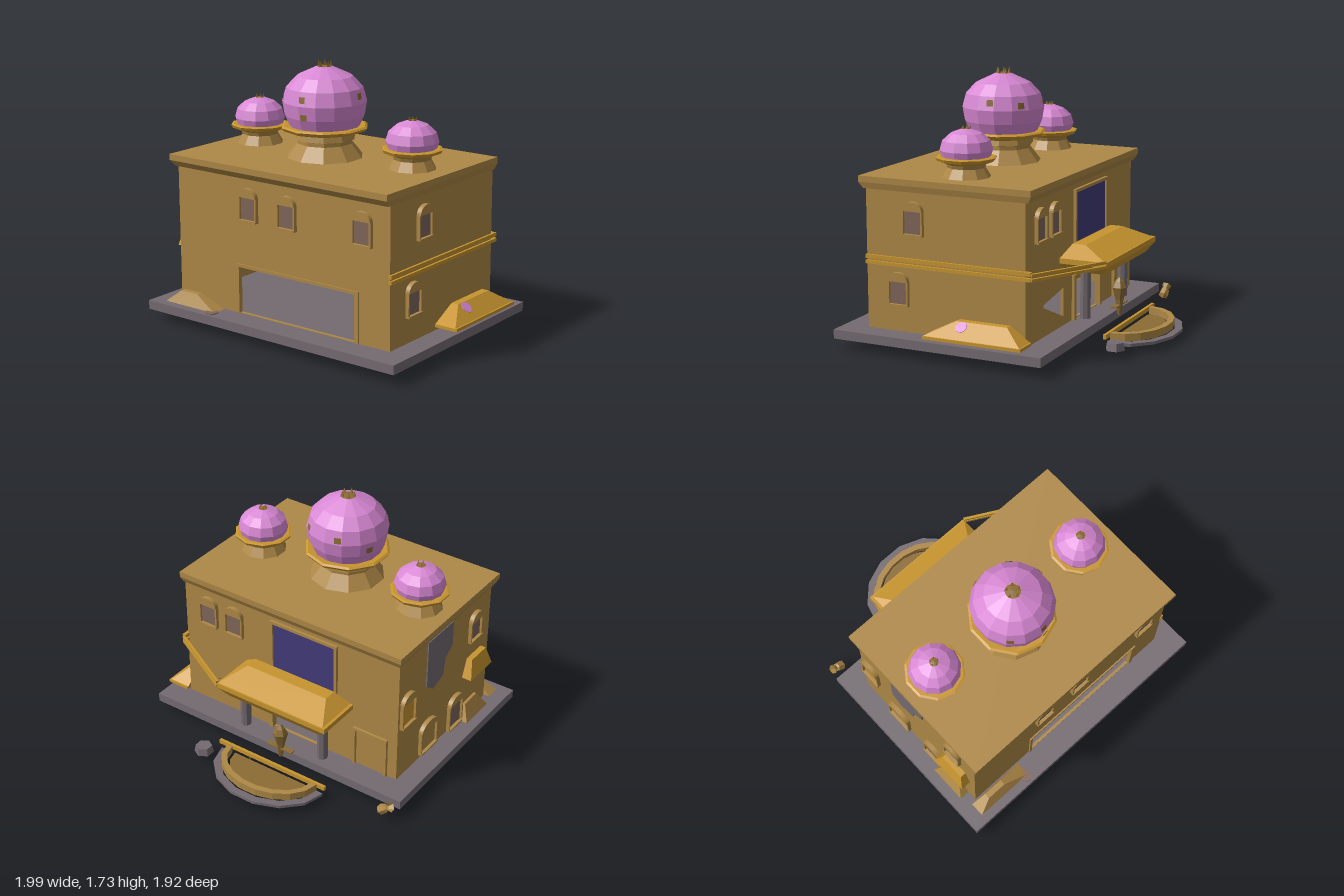
import * as THREE from 'three';

const mat = (name, color) => {
  const m = new THREE.MeshStandardMaterial({ color });
  m.name = name;
  m.side = THREE.DoubleSide;
  return m;
};

export function createModel() {
  const root = new THREE.Group();
  const tan = mat('sandstone', 0xae8846), gold = mat('gold trim', 0xc8952f);
  const pink = mat('pink dome', 0xd888d4), brown = mat('brown window', 0x80665a);
  const grey = mat('grey stone', 0x746b70), blue = mat('blue panel', 0x423c78);
  const dark = mat('dark sandstone', 0x8c6c34);

  const add = (name, geo, m, parent = root) => {
    const g = geo.index ? geo.toNonIndexed() : geo; // faceted normals
    g.computeVertexNormals();
    const mesh = new THREE.Mesh(g, m);
    mesh.name = name;
    parent.add(mesh);
    return mesh;
  };
  const box = (name, m, x0, x1, y0, y1, z0, z1, parent) => {
    const g = new THREE.BoxGeometry(x1 - x0, y1 - y0, z1 - z0);
    g.translate((x0 + x1) / 2, (y0 + y1) / 2, (z0 + z1) / 2);
    return add(name, g, m, parent);
  };
  // Box whose top face is another rectangle [x0, x1, z0, z1]
  const hip = (name, m, low, y0, high, y1) => {
    const g = new THREE.BoxGeometry(1, 1, 1), p = g.attributes.position;
    for (let i = 0; i < p.count; i++) {
      const up = p.getY(i) > 0, r = up ? high : low;
      p.setXYZ(i, p.getX(i) < 0 ? r[0] : r[1], up ? y1 : y0, p.getZ(i) < 0 ? r[2] : r[3]);
    }
    return add(name, g, m);
  };
  const bar = (name, m, a, b, t) => {
    const A = new THREE.Vector3(...a), B = new THREE.Vector3(...b);
    const mesh = add(name, new THREE.BoxGeometry(t, t, A.distanceTo(B)), m);
    mesh.position.copy(A).add(B).multiplyScalar(0.5);
    mesh.lookAt(B);
  };
  const poly = (pts) => new THREE.Shape(pts.map(([x, y]) => new THREE.Vector2(x, y)));
  const rect = (x0, x1, y0, y1) => [[x0, y0], [x1, y0], [x1, y1], [x0, y1]];
  const lathe = (name, m, pts, sides, x, z, parent = root, a = 0, len = Math.PI * 2) => {
    const g = new THREE.LatheGeometry(pts.map(([r, y]) => new THREE.Vector2(r, y)), sides, a, len);
    const mesh = add(name, g, m, parent);
    mesh.position.set(x, 0, z);
    return mesh;
  };

  // Ground slab
  box('groundSlab', grey, -1, 0.98, 0.07, 0.13, -0.49, 0.96);

  // Walls with their openings
  const wall = (name, holes, z) => {
    const s = poly(rect(-0.86, 0.83, 0.13, 1.04));
    holes.forEach((h) => s.holes.push(poly(h)));
    const g = new THREE.ExtrudeGeometry(s, { depth: 0.02, bevelEnabled: false });
    add(name, g.translate(0, 0, z), tan);
  };
  wall('frontWall', [rect(-0.35, 0.57, 0.135, 0.44)], 0.77);
  wall('backWall', [rect(-0.28, 0.11, 0.135, 0.4), [[0.27, 0.19], [0.575, 0.32], [0.575, 0.335], [0.27, 0.38]]], -0.32);
  box('leftWall', tan, 0.81, 0.83, 0.13, 1.04, -0.3, 0.77);
  box('rightWall', tan, -0.86, -0.84, 0.13, 1.04, -0.3, 0.77);

  // Roof and cornice
  hip('cornice', tan, [-0.87, 0.83, -0.34, 0.81], 1.03, [-0.89, 0.84, -0.36, 0.84], 1.07);
  box('roof', tan, -0.89, 0.84, 1.07, 1.11, -0.36, 0.84);

  // Border of the front opening
  for (const [x0, x1, y0, y1] of [[-0.37, -0.35, 0.13, 0.46], [0.57, 0.6, 0.13, 0.46], [-0.35, 0.57, 0.44, 0.46]])
    box('frontOpeningTrim', tan, x0, x1, y0, y1, 0.77, 0.8);

  // Arched windows
  const windowAt = (x, y, z, turn, h = 0.21, w = 0.145, pane = brown) => {
    const g = new THREE.Group();
    g.name = 'archedWindow';
    box('windowPane', pane, -w / 2 + 0.01, w / 2 - 0.01, 0, h - 0.06, 0, 0.009, g);
    for (const s of [-1, 1]) {
      const c = s * (w / 2 - 0.006);
      box('windowJamb', tan, c - 0.006, c + 0.006, 0, h - 0.06, 0, 0.025, g);
    }
    box('windowSill', tan, -w / 2, w / 2, -0.008, 0.004, 0, 0.03, g);
    const hood = new THREE.Shape();
    hood.absellipse(0, 0, w / 2, 0.06, 0, Math.PI, false, 0);
    const geo = new THREE.ExtrudeGeometry(hood, { depth: 0.03, bevelEnabled: false, curveSegments: 8 });
    add('windowHood', geo.translate(0, h - 0.06, 0), tan, g);
    g.position.set(x, y, z);
    g.rotation.y = turn;
    root.add(g);
  };
  const Q = Math.PI / 2;
  for (const x of [-0.26, 0.05, 0.63]) windowAt(x, 0.76, 0.79, 0);
  windowAt(0.83, 0.765, 0.45, Q);
  windowAt(0.83, 0.305, 0.56, Q);
  for (const x of [0.63, 0.42]) windowAt(x, 0.76, -0.32, 2 * Q);
  windowAt(-0.86, 0.73, 0.59, -Q);
  windowAt(-0.86, 0.14, 0.38, -Q, 0.25, 0.17);
  windowAt(-0.86, 0.17, 0.04, -Q, 0.23, 0.2, tan);
  windowAt(-0.86, 0.53, -0.22, -Q, 0.24, 0.16, gold);

  // Broken grey panel and small awning on the right wall
  const panel = poly([[0, 1.02], [0, 0.68], [0.08, 0.62], [0.2, 0.66], [0.22, 0.78], [0.3, 0.84], [0.3, 1.02]]);
  const panelGeo = new THREE.ExtrudeGeometry(panel, { depth: 0.009, bevelEnabled: false });
  add('brokenPanel', panelGeo.rotateY(-Q).translate(-0.86, 0, 0), grey);
  hip('smallAwning', gold, [-0.93, -0.86, 0.47, 0.74], 0.47, [-0.9, -0.86, 0.52, 0.7], 0.6);

  // Band along the left wall, and the rail from it to the canopy
  for (const [y0, y1] of [[0.55, 0.572], [0.585, 0.61]])
    box('wallBand', gold, 0.82, 0.845, y0, y1, -0.36, 0.795);
  for (const y of [0.56, 0.59]) bar('canopyRail', gold, [0.835, y, -0.36], [0.33, y, -0.635], 0.018);

  // Entrance canopy
  hip('canopyUnderside', gold, [-0.45, 0.26, -0.6, -0.32], 0.49, [-0.52, 0.33, -0.64, -0.32], 0.55);
  box('canopyRim', gold, -0.52, 0.33, 0.55, 0.585, -0.64, -0.32);
  hip('canopyRoof', gold, [-0.5, 0.33, -0.63, -0.32], 0.585, [-0.4, 0.22, -0.45, -0.36], 0.66);
  for (const x of [-0.38, 0.24]) {
    const c = add('canopyColumn', new THREE.CylinderGeometry(0.036, 0.036, 0.3, 8), grey);
    c.position.set(x, 0.34, -0.46);
  }

  // Blue panel and doors on the back wall
  box('bluePanel', blue, -0.38, 0.1, 0.56, 0.97, -0.329, -0.32);
  for (const [x0, x1, y0, y1] of [[-0.4, -0.38, 0.55, 0.99], [0.1, 0.12, 0.55, 0.99], [-0.38, 0.1, 0.97, 0.99],
    [-0.79, -0.77, 0.13, 0.42], [-0.55, -0.53, 0.13, 0.42], [-0.77, -0.55, 0.4, 0.42],
    [-0.31, -0.28, 0.13, 0.43], [0.11, 0.14, 0.13, 0.43], [-0.28, 0.11, 0.4, 0.43]])
    box('backTrim', tan, x0, x1, y0, y1, -0.34, -0.31);

  // Low awning beside the left wall
  box('sideAwningRim', gold, 0.83, 0.99, 0.15, 0.17, -0.36, 0.31);
  hip('sideAwning', gold, [0.83, 0.98, -0.35, 0.31], 0.17, [0.83, 0.88, -0.22, 0.13], 0.26);
  const spot = add('pinkSpot', new THREE.CylinderGeometry(0.04, 0.04, 0.008, 8), pink);
  spot.position.set(0.91, 0.233, 0.08);
  spot.rotation.z = -0.73;

  // Domes on drums, with flared dishes and a crown of leaves
  const onionDome = (x, z, sides, drum, dish, dome, name) => {
    const g = new THREE.Group();
    g.name = name;
    root.add(g);
    lathe('domeDrum', tan, drum, 10, x, z, g);
    lathe('domeDish', gold, dish, 10, x, z, g);
    lathe('domeShell', pink, dome, sides, x, z, g);
    const [r, top] = dome[dome.length - 1];
    lathe('domeCap', dark, [[r, top], [0, top + 0.005]], 8, x, z, g);
    for (let i = 0; i < 5; i++) {
      const a = i * Math.PI * 0.4;
      const leaf = add('domeLeaf', new THREE.ConeGeometry(r * 0.3, r * 0.9, 3), dark, g);
      leaf.position.set(x + r * 0.8 * Math.sin(a), top + r * 0.35, z + r * 0.8 * Math.cos(a));
    }
  };
  onionDome(-0.065, 0.27, 14,
    [[0.25, 1.11], [0.18, 1.2], [0.18, 1.225], [0.2, 1.23], [0.19, 1.27]],
    [[0.19, 1.265], [0.27, 1.285], [0.285, 1.305], [0.27, 1.315], [0.2, 1.31]],
    [[0.225, 1.31], [0.255, 1.38], [0.27, 1.47], [0.245, 1.56], [0.18, 1.63], [0.05, 1.69]], 'mainDome');
  for (const x of [-0.66, 0.575])
    onionDome(x, 0.21, 12,
      [[0.155, 1.11], [0.12, 1.17], [0.13, 1.2]],
      [[0.12, 1.19], [0.185, 1.215], [0.195, 1.235], [0.18, 1.24], [0.14, 1.24]],
      [[0.155, 1.24], [0.167, 1.28], [0.15, 1.34], [0.1, 1.385], [0.03, 1.412]], 'sideDome');

  // Worn patches on the main dome
  for (const [a, y] of [[0, 1.51], [0.05, 1.4], [1.6, 1.52], [2.4, 1.5], [3.4, 1.5], [4.2, 1.42], [5.4, 1.5]]) {
    const r = y > 1.47 ? 0.274 - (y - 1.47) * 0.28 : 0.274 - (1.47 - y) * 0.17;
    lathe('domePatch', dark, [[r, y - 0.02], [r - (y > 1.47 ? 0.006 : -0.003), y + 0.02]], 2, -0.065, 0.27, root, a, 0.17);
  }

  // Half-round pool behind the entrance
  const halfRing = (name, m, rx, rz, t, y, h, sides) => {
    const pts = [];
    for (let i = 0; i <= sides; i++) pts.push([rx * Math.cos(i / sides * Math.PI), rz * Math.sin(i / sides * Math.PI)]);
    if (t) for (let i = sides; i >= 0; i--)
      pts.push([(rx - t) * Math.cos(i / sides * Math.PI), (rz - t) * Math.sin(i / sides * Math.PI)]);
    const g = new THREE.ExtrudeGeometry(poly(pts), { depth: h, bevelEnabled: false });
    add(name, g.rotateX(-Q).translate(-0.1, y, -0.64), m);
  };
  halfRing('poolPaving', grey, 0.41, 0.33, 0.05, 0.045, 0.02, 7);
  halfRing('poolRim', tan, 0.36, 0.27, 0.04, 0.065, 0.05, 9);
  halfRing('poolBasin', dark, 0.3, 0.23, 0, 0.06, 0.01, 9);
  box('poolStep', gold, -0.52, 0.33, 0.09, 0.12, -0.64, -0.62);

  // Statue, stray stones and urn
  lathe('statue', dark, [[0.012, 0.13], [0.025, 0.2], [0.03, 0.24], [0.052, 0.32], [0.03, 0.36], [0, 0.39]], 6, -0.11, -0.55);
  box('statuePlate', dark, -0.21, -0.01, 0.2, 0.207, -0.57, -0.53);
  const stone = add('looseStone', new THREE.CylinderGeometry(0.055, 0.065, 0.05, 6), grey);
  stone.position.set(0.39, 0.08, -0.73);
  const urn = lathe('fallenUrn', tan, [[0, -0.05], [0.035, -0.03], [0.03, 0.02], [0.015, 0.03], [0.035, 0.06]], 6, -0.925, -0.56);
  urn.position.y = 0.09;
  urn.rotation.z = 0.9;
  const spike = add('spike', new THREE.ConeGeometry(0.015, 0.07, 4), dark);
  spike.position.set(0.11, 0.035, -0.6);
  spike.rotation.x = Math.PI;

  // Rubble at the front right corner
  hip('rubble', tan, [-0.9, -0.48, 0.8, 0.9], 0.13, [-0.8, -0.66, 0.82, 0.86], 0.21);
  hip('rubbleSide', tan, [-0.93, -0.86, 0.45, 0.72], 0.13, [-0.88, -0.86, 0.5, 0.65], 0.24);
  const stain = add('groundStain', new THREE.CylinderGeometry(0.045, 0.045, 0.006, 8), brown);
  stain.position.set(-0.5, 0.133, 0.9);
  return root;
}
